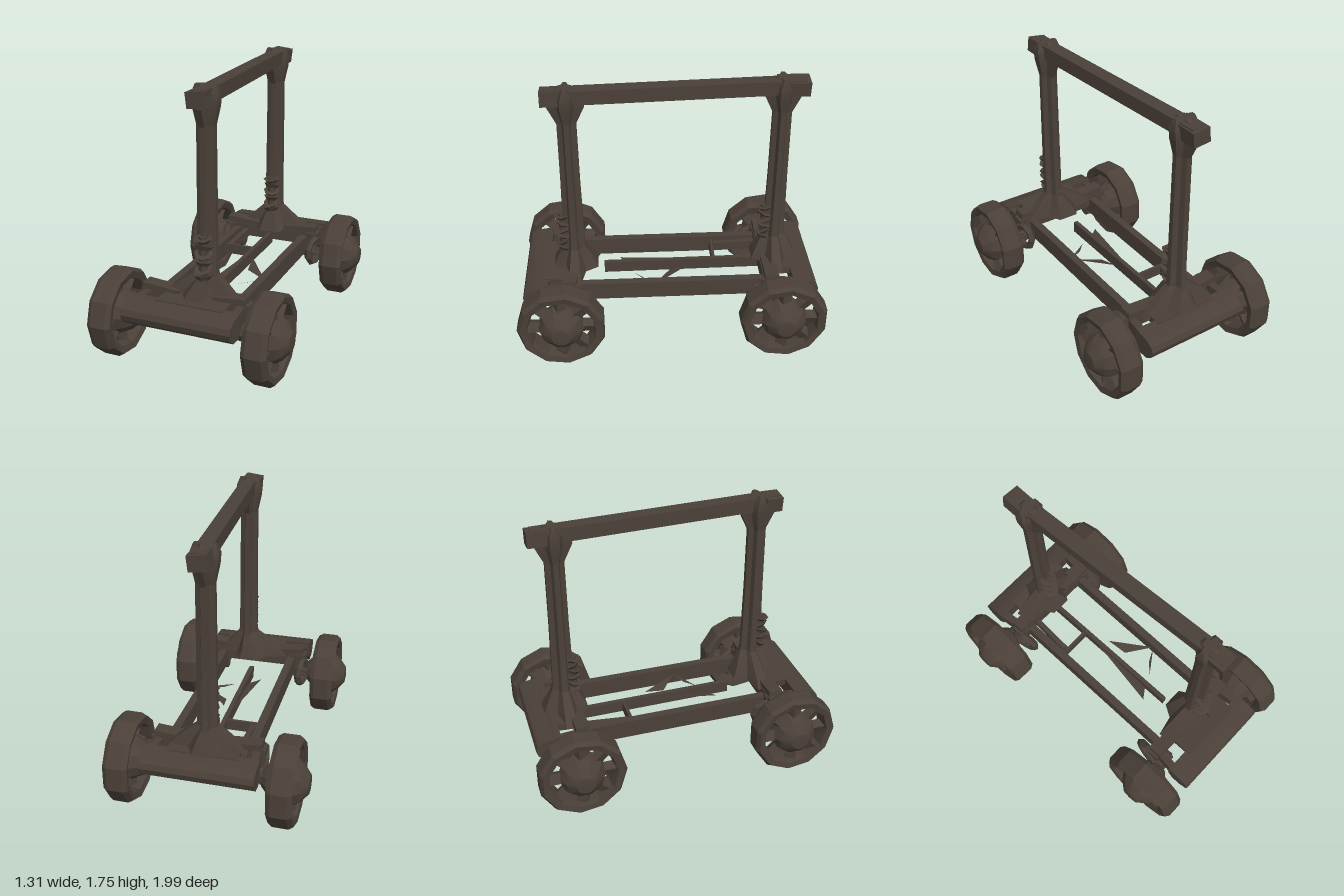
import * as THREE from 'three';
import { toCreasedNormals } from 'three/addons/utils/BufferGeometryUtils.js';

const iron = new THREE.MeshStandardMaterial({ color: 0x4a4038 });
iron.name = 'darkIron';
const plate = new THREE.MeshStandardMaterial({ color: 0x4a4038, side: THREE.DoubleSide });
plate.name = 'darkIronPlate';

function add(parent, name, geo, mat = iron) {
  const mesh = new THREE.Mesh(toCreasedNormals(geo, 0.45), mat);
  mesh.name = name;
  parent.add(mesh);
  return mesh;
}

// Box beam between two points, w wide and h high
function beam(parent, name, a, b, w, h) {
  const p = new THREE.Vector3(...a), q = new THREE.Vector3(...b);
  const mesh = add(parent, name, new THREE.BoxGeometry(w, h, p.distanceTo(q)));
  mesh.position.copy(p).add(q).multiplyScalar(0.5);
  mesh.lookAt(q);
  return mesh;
}

// Ribbed loft with a cross-shaped section through [y, centreX, centreZ, halfX, halfZ], bottom to top
const quarter = [[1, -0.27], [1, 0.27], [0.46, 0.46]];
const cross = [0, 1, 2, 3].flatMap(k => quarter.map(([u, v]) =>
  [[u, -v], [-v, -u], [-u, v], [v, u]][k]));
function loft(parent, name, sections) {
  const pos = [], idx = [], n = cross.length, last = (sections.length - 1) * n;
  for (const [y, cx, cz, hx, hz] of sections)
    for (const [u, v] of cross) pos.push(cx + u * hx, y, cz + v * hz);
  const low = pos.length / 3, high = low + 1;
  for (const [y, cx, cz] of [sections[0], sections.at(-1)]) pos.push(cx, y, cz);
  for (let j = 0; j < n; j++) {
    const k = (j + 1) % n;
    for (let r = 0; r < last; r += n) idx.push(r + j, r + k, r + n + k, r + j, r + n + k, r + n + j);
    idx.push(low, k, j, high, last + j, last + k);
  }
  const geo = new THREE.BufferGeometry();
  geo.setAttribute('position', new THREE.Float32BufferAttribute(pos, 3));
  geo.setIndex(idx);
  return add(parent, name, geo);
}

// Thin triangular sheet
function shard(parent, name, pts) {
  const geo = new THREE.BufferGeometry();
  geo.setAttribute('position', new THREE.Float32BufferAttribute(pts, 3));
  geo.computeVertexNormals();
  return add(parent, name, geo, plate);
}

const lathe = (pts, sides) => new THREE.LatheGeometry(pts.map(p => new THREE.Vector2(...p)), sides);

// Wheel with its axis on y, outer face at +y
function makeWheel() {
  const wheel = new THREE.Group();
  wheel.name = 'wheel';
  add(wheel, 'tyre', lathe([[0.22, -0.07], [0.265, -0.08], [0.284, -0.05], [0.284, 0.05],
    [0.265, 0.078], [0.225, 0.07], [0.21, 0], [0.22, -0.07]], 11));
  add(wheel, 'hub', lathe([[0, -0.16], [0.06, -0.15], [0.1, -0.11], [0.125, -0.06], [0.155, 0],
    [0.14, 0.06], [0.115, 0.095], [0.06, 0.14], [0, 0.148]], 10));
  for (let i = 0; i < 8; i++) {
    const a = i / 8 * Math.PI * 2;
    const spoke = add(wheel, 'spoke', new THREE.BoxGeometry(0.11, 0.06, 0.07));
    spoke.position.set(Math.cos(a) * 0.18, 0.01, Math.sin(a) * 0.18);
    spoke.rotation.set(0.45, -a, 0, 'YXZ');
  }
  return wheel;
}

// Stack of tilted fins around a core
function makeSpring(x, z, y0, y1) {
  const spring = new THREE.Group();
  spring.name = 'spring';
  const core = add(spring, 'springCore', new THREE.CylinderGeometry(0.03, 0.03, y1 - y0, 6));
  core.position.set(x, (y0 + y1) / 2, z);
  for (let i = 0; i < 6; i++) {
    const fin = add(spring, 'springFin', new THREE.CylinderGeometry(0.058, 0.034, 0.026, 7));
    fin.position.set(x, y0 + (i + 0.5) * (y1 - y0) / 6, z);
    fin.rotation.set(i % 2 ? 0.3 : -0.25, i, 0.15);
  }
  return spring;
}

// One axle end; s is +1 at the front and -1 at the back, px and pz locate the post
function makeEnd(s, px, pz) {
  const end = new THREE.Group();
  end.name = s > 0 ? 'frontEnd' : 'backEnd';

  // Bumper beam with rounded corners
  const shape = new THREE.Shape([[0.8, 0.36], [0.84, 0.31], [0.91, 0.315], [0.955, 0.35],
    [0.968, 0.39], [0.955, 0.425], [0.91, 0.45], [0.8, 0.465]].map(p => new THREE.Vector2(...p)));
  const bumper = new THREE.ExtrudeGeometry(shape, { depth: 0.71, bevelEnabled: false });
  bumper.translate(0, 0, -0.355).rotateY(-Math.PI / 2 * s);
  add(end, 'bumper', bumper);

  // Cross tie, deck and pedestal
  beam(end, 'crossTie', [-0.36, 0.41, s * 0.65], [0.36, 0.41, s * 0.65], 0.08, 0.09);
  beam(end, 'deck', [px * 0.5, 0.435, s * 0.64], [px * 0.5, 0.445, s * 0.84], 0.44, 0.045);
  loft(end, 'pedestal', [[0.44, px * 0.5, pz, 0.25, 0.15], [0.49, px * 0.5, pz, 0.2, 0.13],
    [0.61, px, pz, 0.065, 0.075]]);

  // Ribbed post with flared foot and bracket head
  loft(end, 'post', [[0.5, px, pz, 0.085, 0.11], [0.64, px, pz, 0.062, 0.07],
    [1.1, px, pz, 0.06, 0.062], [1.54, px, pz, 0.058, 0.06]]);
  loft(end, 'postBracket', [[1.51, px, pz, 0.055, 0.058], [1.63, px, pz, 0.078, 0.115],
    [1.7, px, pz, 0.085, 0.105], [1.755, px, pz, 0.065, 0.04]]);
  const cap = beam(end, 'barCap', [px, 1.69, s * 0.67], [px, 1.69, s > 0 ? 0.78 : -0.87], 0.115, 0.095);
  cap.rotateZ(0.12);

  for (const m of [-1, 1]) {
    // Side struts and knuckles
    beam(end, 'sideStrut', [m * 0.3, 0.4, s * 0.6], [m * 0.33, 0.4, s * 0.9], 0.05, 0.1);
    beam(end, 'bracePlate', [m * 0.1, 0.46, s * 0.66], [m * 0.34, 0.48, s * 0.66], 0.09, 0.04);
    const stub = add(end, 'axleStub', new THREE.CylinderGeometry(0.05, 0.07, 0.2, 7));
    stub.rotation.z = Math.PI / 2 * m;
    stub.position.set(m * 0.34, 0.29, s * 0.7);
    beam(end, 'lowerArm', [m * 0.24, 0.32, s * 0.68], [m * 0.37, 0.25, s * 0.68], 0.1, 0.05);
    const ring = add(end, 'knuckleRing', new THREE.TorusGeometry(0.085, 0.026, 5, 9));
    ring.rotation.y = Math.PI / 2 + s * m * 0.2;
    ring.position.set(m * 0.34, 0.33, s * 0.6);

    const wheel = makeWheel();
    wheel.rotation.z = -m * Math.PI / 2;
    wheel.position.set(m * 0.505, m > 0 ? 0.292 : 0.285, s * 0.716);
    end.add(wheel);
  }
  return end;
}

export function createModel() {
  const model = new THREE.Group();
  model.name = 'wheeledFrame';
  model.add(makeEnd(1, 0.07, 0.63), makeEnd(-1, -0.01, -0.71));
  model.add(makeSpring(0.07, 0.695, 0.57, 0.86), makeSpring(-0.01, -0.645, 0.56, 0.83));

  // Overhead bar
  beam(model, 'topBar', [-0.01, 1.695, -0.84], [0.08, 1.695, 0.76], 0.095, 0.09);

  // Lower chassis
  for (const m of [-1, 1]) beam(model, 'sideRail', [m * 0.255, 0.37, -0.66], [m * 0.255, 0.37, 0.66], 0.052, 0.12);
  beam(model, 'centreRail', [-0.01, 0.37, -0.64], [0.0, 0.37, 0.44], 0.03, 0.08);
  beam(model, 'crossBar', [-0.25, 0.37, -0.31], [0, 0.37, -0.31], 0.02, 0.07);
  beam(model, 'shortStrut', [-0.19, 0.39, -0.62], [-0.2, 0.37, -0.33], 0.035, 0.06);
  shard(model, 'centreSheet', [-0.01, 0.4, -0.25, -0.095, 0.37, 0.33, 0.02, 0.35, 0.25]);
  shard(model, 'braceSheet', [0.05, 0.4, -0.14, 0.24, 0.37, 0.12, 0.07, 0.37, 0.0]);
  shard(model, 'lowerBraceSheet', [0.24, 0.38, 0.12, 0.07, 0.36, 0.24, 0.14, 0.36, 0.17]);
  return model;
}
